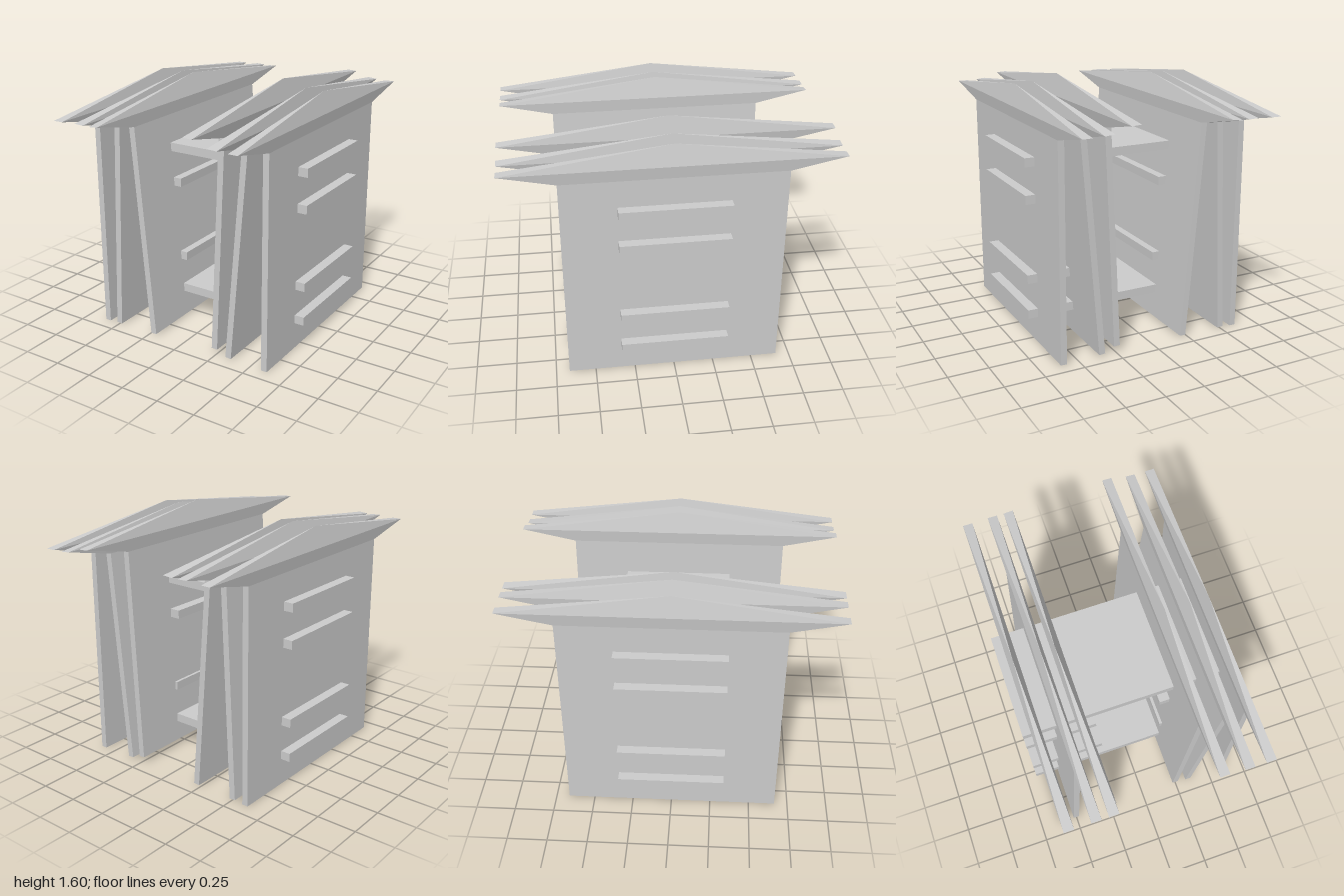
import * as THREE from 'three';

const material = new THREE.MeshStandardMaterial({ color: 0xcccccc, flatShading: true });
const BODY_TOP = 1.354, FLARE_TOP = 1.43, TIP = 1.561;

function addMesh(parent, name, geometry) {
  const mesh = new THREE.Mesh(geometry, material);
  mesh.name = name;
  parent.add(mesh);
  return mesh;
}

// Four-sided tapered block; half sizes are (0.03, 1) scaled by the top and bottom factors
function taper(topScale, bottomScale, y0, y1) {
  const r = Math.SQRT2;
  return new THREE.CylinderGeometry(r * topScale, r * bottomScale, y1 - y0, 4)
    .rotateY(Math.PI / 4)
    .scale(0.03, 1, 1)
    .translate(0, (y0 + y1) / 2, 0);
}

// Picket: flat plank with a flared, pointed head, leaning from its foot towards its tip
function picket(footX, footY, tipX, tipY) {
  const group = new THREE.Group();
  group.name = 'picket';
  addMesh(group, 'plank', new THREE.BoxGeometry(0.039, BODY_TOP, 4 / 3).translate(0, BODY_TOP / 2, 0));
  addMesh(group, 'headCollar', taper(1, 2 / 3, BODY_TOP, FLARE_TOP));
  addMesh(group, 'headPoint', taper(0, 1, FLARE_TOP, TIP));
  group.position.set(footX, footY, 0);
  group.rotation.z = -Math.atan2(tipX - footX, tipY - footY);
  return group;
}

// Horizontal rail from x0 to x1
function rail(parent, name, x0, x1, y) {
  addMesh(parent, name, new THREE.BoxGeometry(x1 - x0, 0.055, 2 / 3))
    .position.set((x0 + x1) / 2, y, 0);
}

export function createModel() {
  const model = new THREE.Group();
  model.name = 'brokenFence';

  // Pickets: foot x, foot y, tip x, tip y
  [
    [-0.596, 0, -0.596, 1.561],
    [-0.501, 0.006, -0.432, 1.559],
    [-0.22, 0.009, -0.345, 1.555],
    [0.245, 0.043, 0.317, 1.594],
    [0.344, 0.01, 0.477, 1.553],
    [0.596, 0, 0.596, 1.561],
  ].forEach((p) => model.add(picket(...p)));

  // Full-width rails
  rail(model, 'topRail', -0.678, 0.678, 1.156);
  rail(model, 'bottomRail', -0.678, 0.678, 0.201);

  // Broken rails either side of the gap
  rail(model, 'upperRailRight', -0.678, -0.222, 0.929);
  rail(model, 'upperRailLeft', 0.2, 0.678, 0.929);
  rail(model, 'lowerRailRight', -0.678, -0.188, 0.429);
  rail(model, 'lowerRailLeft', 0.226, 0.678, 0.429);

  return model;
}
